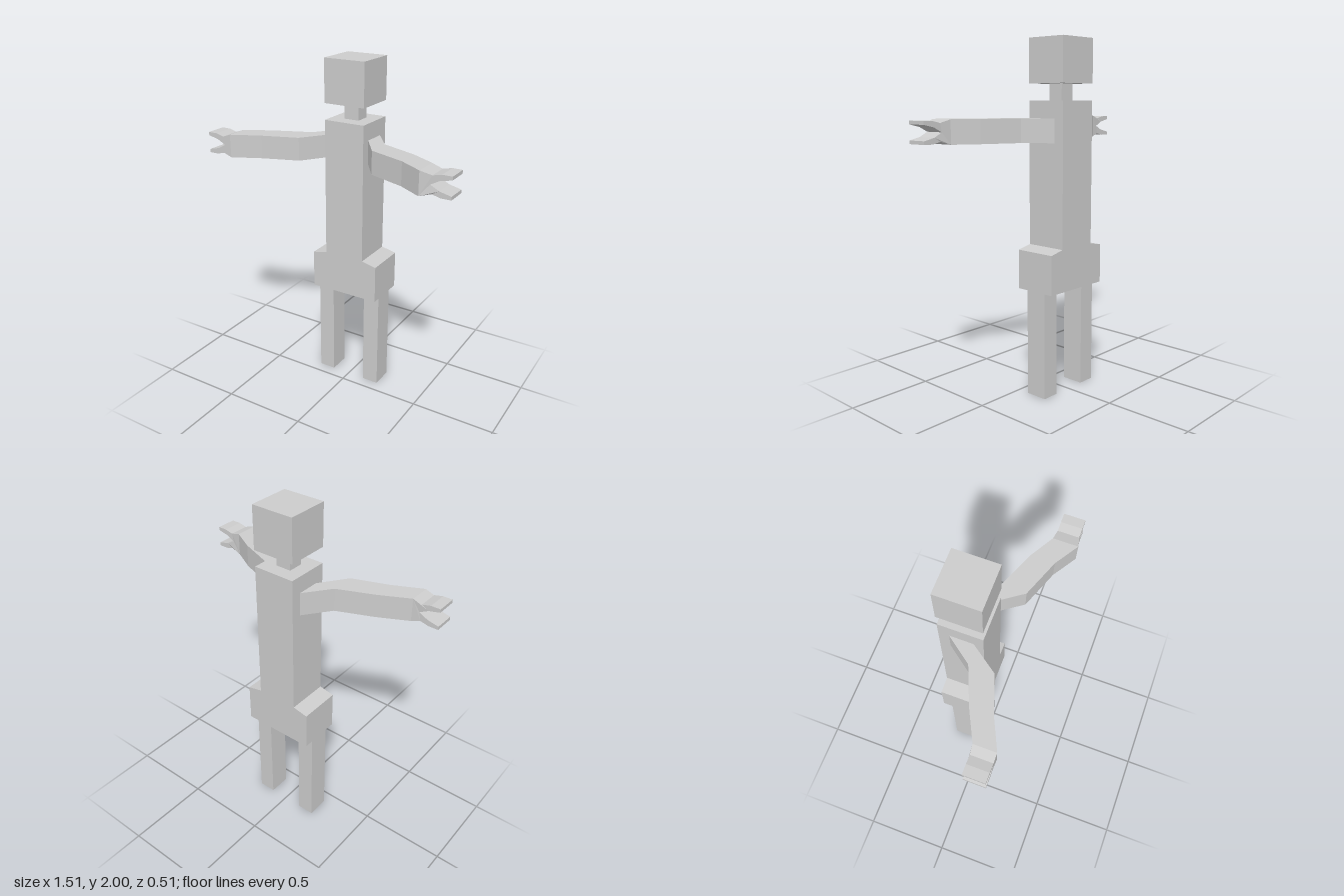
import * as THREE from 'three';

const material = new THREE.MeshStandardMaterial({ color: 0xcccccc, flatShading: true, side: THREE.DoubleSide });

function part(name, geometry) {
  const mesh = new THREE.Mesh(geometry, material);
  mesh.name = name;
  return mesh;
}

// Box given by its lower and upper corners
function block(name, [x0, y0, z0], [x1, y1, z1]) {
  const mesh = part(name, new THREE.BoxGeometry(x1 - x0, y1 - y0, z1 - z0));
  mesh.position.set((x0 + x1) / 2, (y0 + y1) / 2, (z0 + z1) / 2);
  return mesh;
}

function prism(points, depth) {
  const shape = new THREE.Shape(points.map(([x, y]) => new THREE.Vector2(x, y)));
  return new THREE.ExtrudeGeometry(shape, { depth, bevelEnabled: false });
}

// stations: [x, back z, front z] from shoulder to wrist
function arm(prefix, side, stations) {
  const group = new THREE.Group();
  group.name = prefix + 'Arm';

  // Bent arm: plan outline raised to the arm's height
  const back = stations.map(([x, b]) => [side * x, -b]);
  const front = stations.map(([x, , f]) => [side * x, -f]).reverse();
  const limb = prism([...back, ...front], 0.132);
  limb.rotateX(-Math.PI / 2).translate(0, 1.435, 0);
  group.add(part(prefix + 'Limb', limb));

  // Two-pronged hand: side outline mirrored about the arm's axis
  const [wrist, wristBack, wristFront] = stations[stations.length - 1];
  const lower = [[wrist, -0.066], [0.65, -0.048], [0.7, -0.06], [0.755, -0.06], [0.755, -0.041], [0.69, -0.026]];
  const upper = lower.map(([x, y]) => [x, -y]).reverse();
  const outline = [...lower, [0.64, 0], ...upper].map(([x, y]) => [side * x, 1.501 + y]);
  const hand = prism(outline, 0.12).translate(0, 0, 0.12);
  const p = hand.attributes.position;
  // Fit the hand's root to the wrist
  for (let i = 0; i < p.count; i++) {
    if (Math.abs(p.getX(i)) < wrist + 0.005) p.setZ(i, p.getZ(i) < 0.18 ? wristBack : wristFront);
  }
  hand.computeVertexNormals();
  group.add(part(prefix + 'Hand', hand));
  return group;
}

export function createModel() {
  const model = new THREE.Group();
  model.name = 'blockFigure';

  model.add(block('head', [-0.125, 1.755, -0.256], [0.125, 2, -0.01]));
  model.add(block('neck', [-0.045, 1.66, -0.178], [0.045, 1.755, -0.09]));

  // Torso and hips in one outline
  const half = [[0.213, 0.613], [0.213, 0.836], [0.123, 0.855], [0.123, 1.662]];
  const mirrored = half.map(([x, y]) => [-x, y]).reverse();
  model.add(part('torso', prism([...half, ...mirrored], 0.246).translate(0, 0, -0.256)));

  model.add(block('leftLeg', [0.106, 0, -0.2], [0.206, 0.615, -0.07]));
  model.add(block('rightLeg', [-0.211, 0, -0.2], [-0.111, 0.615, -0.07]));

  // Arms reach forward, each with a slightly different bend
  const shoulder = [[0.12, -0.2, -0.068], [0.233, -0.05, 0.09]];
  model.add(arm('left', 1, [...shoulder, [0.45, 0.035, 0.17], [0.587, 0.112, 0.254]]));
  model.add(arm('right', -1, [...shoulder, [0.436, 0.033, 0.162], [0.6, 0.115, 0.24]]));

  return model;
}
